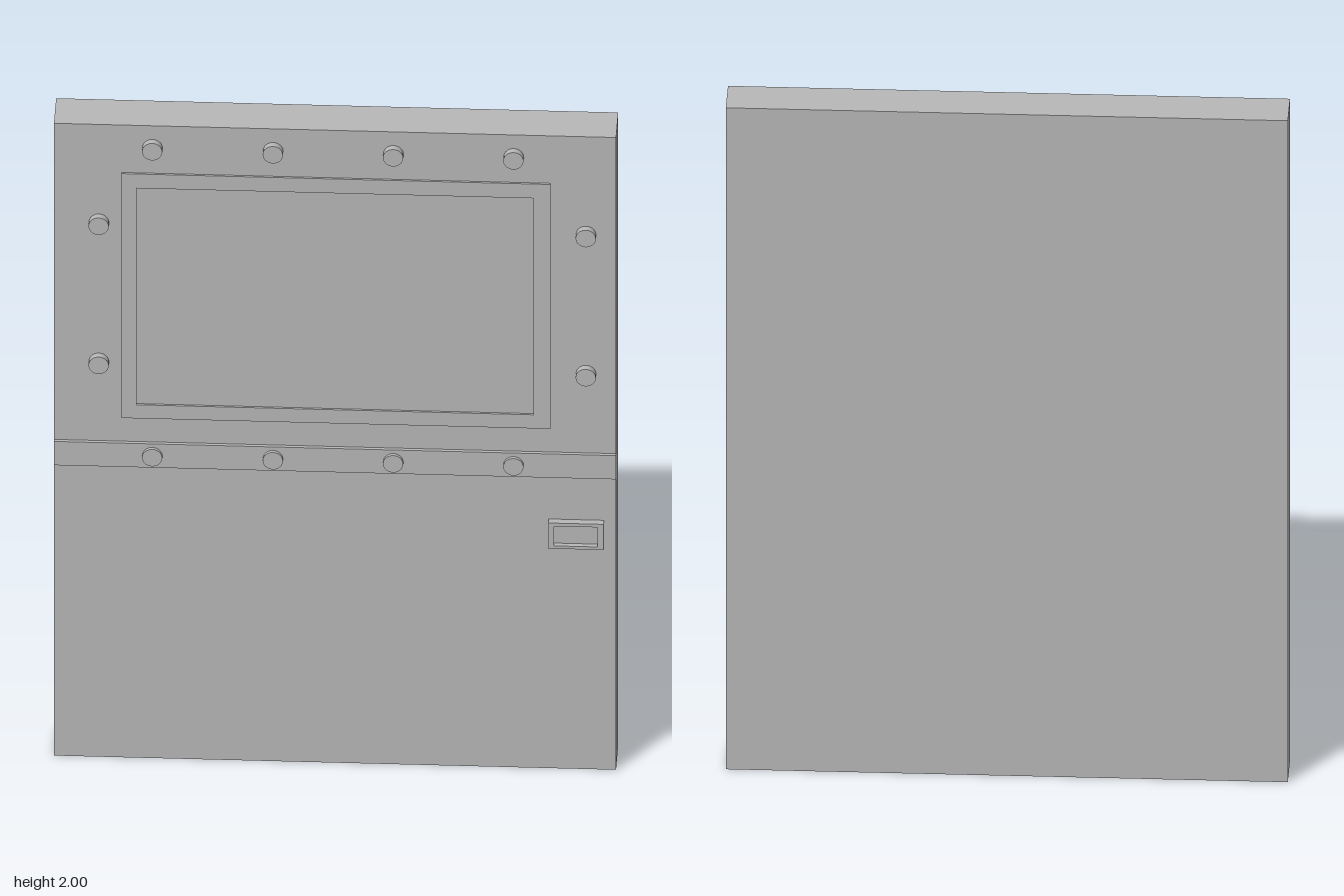
import * as THREE from 'three';

const FACE = 0.052; // front face of the slab
const BACK = -0.072;

export function createModel() {
  const model = new THREE.Group();
  model.name = 'door';
  const metal = new THREE.MeshStandardMaterial({ color: 0xb8b8b8 });
  metal.name = 'grey metal';

  const add = (name, geometry) => {
    const mesh = new THREE.Mesh(geometry, metal);
    mesh.name = name;
    model.add(mesh);
    return mesh;
  };

  // Box given by its limits on each axis
  const box = (name, x0, x1, y0, y1, z0, z1) =>
    add(name, new THREE.BoxGeometry(x1 - x0, y1 - y0, z1 - z0))
      .position.set((x0 + x1) / 2, (y0 + y1) / 2, (z0 + z1) / 2);

  // Rectangular ring standing on the slab face
  const rect = (path, [x0, x1, y0, y1]) =>
    path.moveTo(x0, y0).lineTo(x1, y0).lineTo(x1, y1).lineTo(x0, y1).closePath();
  const ring = (name, outer, inner, depth) => {
    const shape = rect(new THREE.Shape(), outer);
    shape.holes.push(rect(new THREE.Path(), inner));
    add(name, new THREE.ExtrudeGeometry(shape, { depth, bevelEnabled: false })).position.z = FACE;
  };

  // Slab and the band across its middle
  box('doorPanel', -0.75, 0.75, 0, 2, BACK, FACE);
  box('crossBand', -0.75, 0.75, 0.925, 1, FACE - 0.01, 0.062);

  // Raised window surround
  ring('windowFrame', [-0.57, 0.575, 1.077, 1.85], [-0.53, 0.53, 1.12, 1.805], 0.006);

  // Latch plate with a shallow pocket
  ring('latchFrame', [0.57, 0.718, 0.707, 0.788], [0.585, 0.702, 0.716, 0.778], 0.02);
  box('latchPocket', 0.58, 0.71, 0.711, 0.783, FACE - 0.01, FACE + 0.006);

  // Round bolts along the top, the band and both sides
  const boltGeometry = new THREE.CylinderGeometry(0.027, 0.027, 0.03, 20).rotateX(Math.PI / 2);
  const bolt = (x, y) => add('bolt', boltGeometry).position.set(x, y, 0.057);
  for (const x of [-0.487, -0.165, 0.156, 0.477]) {
    bolt(x, 1.93);
    bolt(x, 0.962);
  }
  for (const x of [-0.63, 0.67]) {
    bolt(x, 1.69);
    bolt(x, 1.25);
  }

  return model;
}
